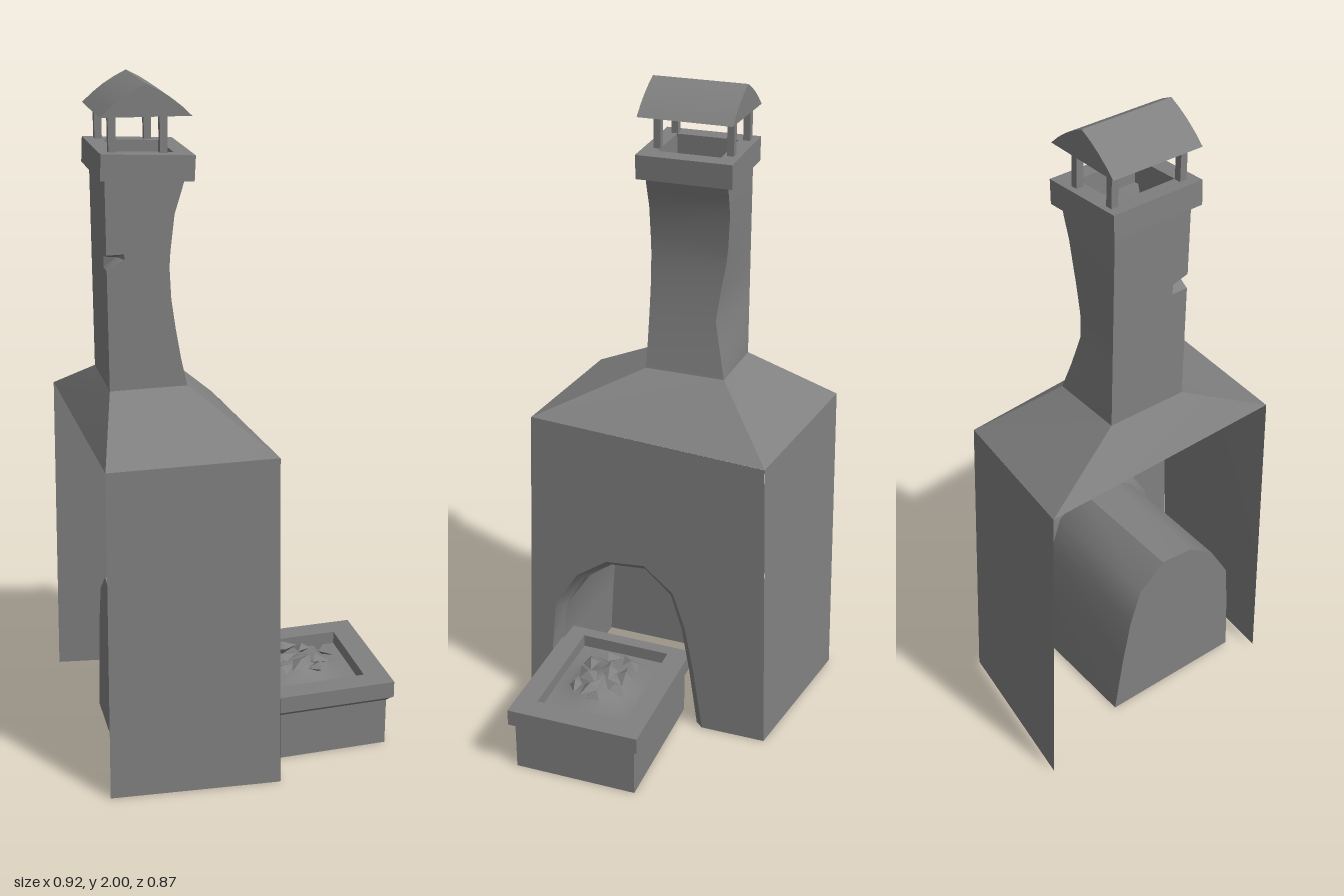
import * as THREE from 'three';
import { toCreasedNormals } from 'three/addons/utils/BufferGeometryUtils.js';

const grey = new THREE.MeshStandardMaterial({ color: 0x808080, side: THREE.DoubleSide });
const faceted = new THREE.MeshStandardMaterial({ color: 0x808080, side: THREE.DoubleSide, flatShading: true });

function part(group, name, geometry, material = grey) {
  const mesh = new THREE.Mesh(geometry, material);
  mesh.name = name;
  group.add(mesh);
  return mesh;
}

// Skin through rings of [x, y, z] points, counter-clockwise seen from above when rings rise.
function loft(rings, { closed = true, cap = false, crease = 0.5 } = {}) {
  const pos = [];
  const n = rings[0].length;
  for (let i = 0; i < rings.length - 1; i++) {
    for (let j = 0; j < (closed ? n : n - 1); j++) {
      const k = (j + 1) % n;
      const [a, b, c, d] = [rings[i][j], rings[i][k], rings[i + 1][k], rings[i + 1][j]];
      pos.push(...a, ...b, ...c, ...a, ...c, ...d);
    }
  }
  if (cap) {
    const last = rings[rings.length - 1];
    for (let j = 1; j < n - 1; j++) pos.push(...last[0], ...last[j], ...last[j + 1]);
  }
  const g = new THREE.BufferGeometry();
  g.setAttribute('position', new THREE.Float32BufferAttribute(pos, 3));
  return toCreasedNormals(g, crease);
}

// Horizontal slab from an outline and a hole, both given as [x, z]
function frame(outline, hole, height) {
  const toV = ([x, z]) => new THREE.Vector2(x, -z);
  const shape = new THREE.Shape(outline.map(toV));
  shape.holes.push(new THREE.Path(hole.map(toV)));
  return new THREE.ExtrudeGeometry(shape, { depth: height, bevelEnabled: false }).rotateX(-Math.PI / 2);
}

const rect = (x0, x1, z0, z1) => [[x0, z1], [x1, z1], [x1, z0], [x0, z0]];
const wallX = z => 0.055 + 0.025 * z;

// Arch outline as [z, y], from the front foot over the crown to the rear foot
const arch = [[0.362, 0], [0.35, 0.2], [0.335, 0.36], [0.26, 0.48], [0.16, 0.55],
  [0.035, 0.56], [-0.06, 0.48], [-0.10, 0.36], [-0.13, 0.2], [-0.16, 0]];

function buildHood() {
  const g = new THREE.Group();
  g.name = 'hood';
  // Corner order: front left end, front right end, rear right end, rear left end
  const foot = [[-0.435, 0, 0.40], [0.065, 0, 0.435], [0.046, 0, -0.365], [-0.46, 0, -0.435]];
  const eave = [[-0.42, 1.005, 0.375], [0.065, 1.01, 0.395], [0.046, 0.96, -0.34], [-0.445, 1.005, -0.415]];
  const neck = [[-0.355, 1.14, 0.10], [-0.13, 1.14, 0.10], [-0.13, 1.14, -0.15], [-0.355, 1.14, -0.15]];
  part(g, 'frontWall', loft([[foot[0], foot[1]], [eave[0], eave[1]]], { closed: false }));
  part(g, 'rearWall', loft([[foot[2], foot[3]], [eave[2], eave[3]]], { closed: false }));
  part(g, 'hoodRoof', loft([eave, neck], { crease: 0.3 }));

  // Wall with the arched mouth cut out of its lower edge
  const outline = [[0.435, 0], ...arch, [-0.365, 0], [-0.34, 0.96], [0.395, 1.01]];
  const wall = new THREE.ShapeGeometry(new THREE.Shape(outline.map(([z, y]) => new THREE.Vector2(-z, y))));
  wall.rotateY(Math.PI / 2);
  const p = wall.attributes.position;
  for (let i = 0; i < p.count; i++) p.setX(i, wallX(p.getZ(i)));
  wall.computeVertexNormals();
  part(g, 'archWall', wall);

  // Firebox: splayed lip, tunnel and closed end
  const section = (x, inset) => arch.map(([z, y]) => {
    const s = 1 - inset / 0.26;
    return [x ?? wallX(z), y * (1 - inset / 0.56), 0.1 + (z - 0.1) * s];
  });
  part(g, 'firebox', loft([section(null, 0), section(0.03, 0.025), section(-0.375, 0.028)],
    { closed: false, cap: true, crease: 0.65 }));
  return g;
}

function buildChimney() {
  const g = new THREE.Group();
  g.name = 'chimney';
  // [height, right side x, z of the warped rear corner, depth of the chip]
  const levels = [[1.14, -0.13, -0.15, 0], [1.22, -0.147, -0.13, 0], [1.31, -0.162, -0.11, 0],
    [1.40, -0.174, -0.12, 0], [1.49, -0.178, -0.135, 0], [1.52, -0.176, -0.138, 0.035],
    [1.535, -0.175, -0.14, 0], [1.64, -0.162, -0.148, 0], [1.70, -0.143, -0.15, 0], [1.76, -0.125, -0.15, 0]];
  const shaft = levels.map(([y, x, z, chip]) => [
    [-0.355, y, 0.05], [-0.355 + chip, y, 0.10 - chip], [-0.305, y, 0.10],
    [x, y, 0.10], [x, y, z], [-0.355, y, -0.15]]);
  part(g, 'shaft', loft(shaft, { crease: 0.6 }));

  // Slightly tilted collar around the flue
  const collar = part(g, 'collar', frame(rect(-0.131, 0.131, -0.145, 0.145), rect(-0.08, 0.08, -0.095, 0.095), 0.072));
  collar.position.set(-0.242, 1.739, -0.023);
  collar.rotation.set(0, 0.012, -0.055);

  // Rain cover on four posts
  for (const x of [-0.33, -0.188]) {
    for (const z of [0.082, -0.14]) {
      part(g, 'coverPost', new THREE.BoxGeometry(0.021, 0.14, 0.021)).position.set(x, 1.857, z);
    }
  }
  const gable = new THREE.Shape();
  gable.moveTo(-0.367, 1.914);
  gable.lineTo(-0.114, 1.91);
  gable.quadraticCurveTo(-0.170, 1.969, -0.24, 2.0);
  gable.quadraticCurveTo(-0.311, 1.969, -0.367, 1.914);
  const cover = new THREE.ExtrudeGeometry(gable, { depth: 0.285, bevelEnabled: false, curveSegments: 4 });
  part(g, 'rainCover', toCreasedNormals(cover.translate(0, 0, -0.167), 0.4));
  return g;
}

function buildHearth() {
  const g = new THREE.Group();
  g.name = 'hearth';
  // Rim slab with the fire pit, over a hollow base
  const rim = [[-0.04, 0.332], [0.455, 0.32], [0.445, -0.097], [-0.04, -0.088]];
  const pit = [[0.0, 0.268], [0.38, 0.255], [0.375, -0.03], [0.0, -0.022]];
  part(g, 'rim', frame(rim, pit, 0.052)).position.y = 0.163;
  const ring = (y, s) => rim.map(([x, z]) => [0.208 + (x - 0.208) * s, y, 0.117 + (z - 0.117) * s]);
  part(g, 'base', loft([ring(0, 0.925), ring(0.148, 0.925), ring(0.163, 0.985)], { crease: 0.2 }));

  // Smooth bed that fills the pit to its edges and rises to a mound
  let seed = 11;
  const rand = () => (seed = (seed * 16807) % 2147483647) / 2147483647;
  const bed = new THREE.PlaneGeometry(1, 1, 14, 12).rotateX(-Math.PI / 2);
  const p = bed.attributes.position;
  const lerp = THREE.MathUtils.lerp;
  for (let i = 0; i < p.count; i++) {
    const u = p.getX(i) + 0.5;
    const v = p.getZ(i) + 0.5;
    const x = lerp(0, lerp(pit[2][0], pit[1][0], v), u);
    const z = lerp(lerp(pit[3][1], pit[2][1], u), lerp(pit[0][1], pit[1][1], u), v);
    const mound = Math.exp(-(((x - 0.19) / 0.09) ** 2) - ((z - 0.125) / 0.075) ** 2);
    p.setXYZ(i, x, 0.175 + mound * (0.045 + 0.015 * rand()), z);
  }
  bed.computeVertexNormals();
  part(g, 'coalBed', bed);

  // Jagged coals as [x, z, length, turn], leaning on the mound
  const coals = [[0.11, 0.06, 0.055, 0.7], [0.18, 0.05, 0.05, 0.2], [0.24, 0.06, 0.05, 1.1],
    [0.30, 0.09, 0.045, -1.0], [0.26, 0.13, 0.05, -0.4], [0.21, 0.16, 0.06, 0.8], [0.26, 0.18, 0.04, 0.2],
    [0.14, 0.18, 0.05, 0.4], [0.10, 0.14, 0.05, -1.2], [0.16, 0.11, 0.055, 0.3]];
  for (const [x, z, length, turn] of coals) {
    const coal = part(g, 'coal', new THREE.OctahedronGeometry(1, 0), faceted);
    coal.scale.set(length, 0.014 + 0.006 * rand(), length * 0.5);
    coal.position.set(x, 0.218 + 0.01 * rand(), z);
    coal.rotation.set((z - 0.125) * 3, turn, (0.19 - x) * 1.5);
  }
  return g;
}

export function createModel() {
  const model = new THREE.Group();
  model.name = 'forge';
  model.add(buildHood(), buildChimney(), buildHearth());
  return model;
}
